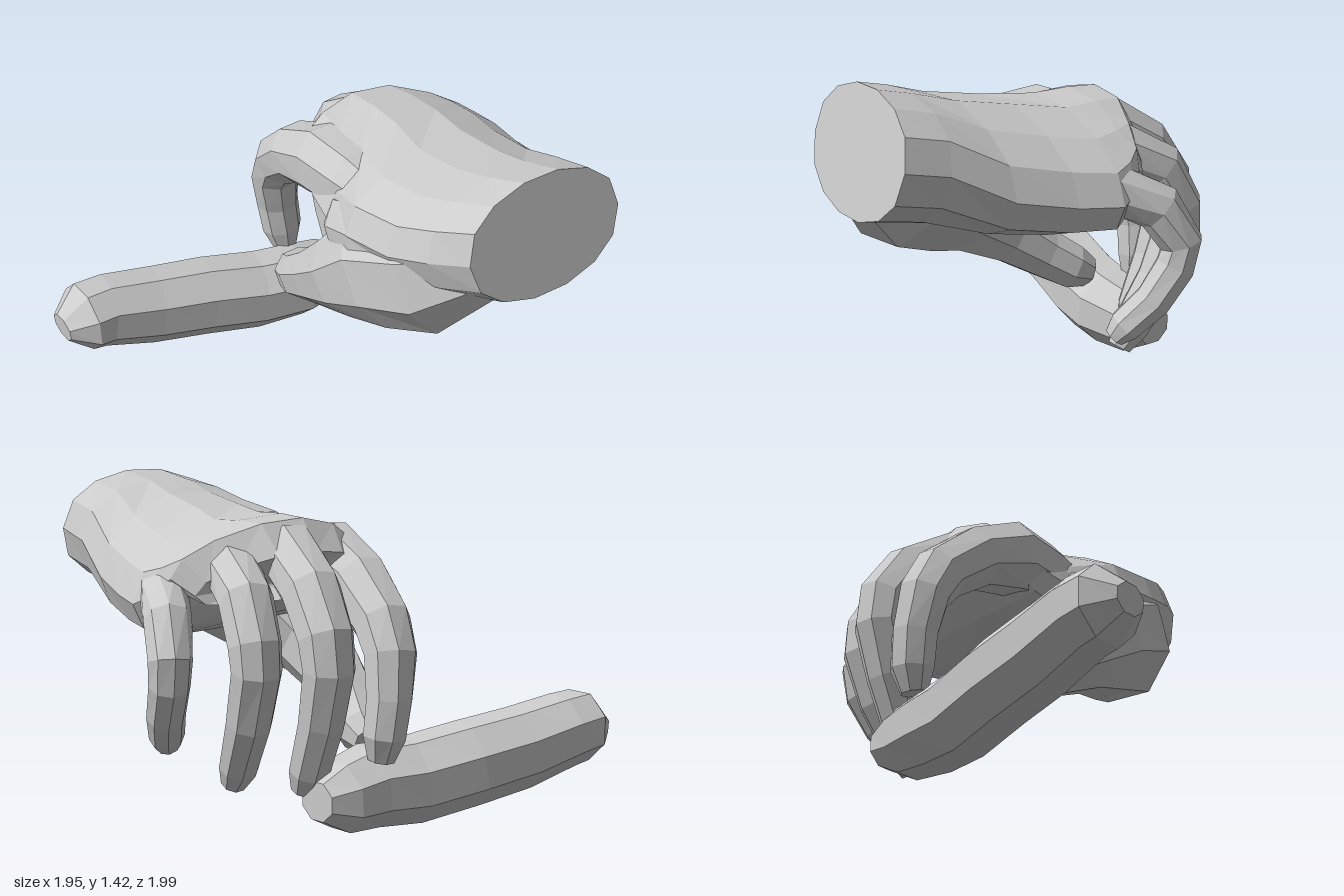
import * as THREE from 'three';

const material = new THREE.MeshStandardMaterial({ color: 0xcccccc, flatShading: true });
const V = (x, y, z) => new THREE.Vector3(x, y, z);

// Closed skin over a row of rings, with a fan at each end
function skin(name, rings) {
  const n = rings[0].length, pos = [], idx = [];
  rings.forEach(r => r.forEach(p => pos.push(p.x, p.y, p.z)));
  for (let i = 0; i < rings.length - 1; i++) {
    for (let j = 0; j < n; j++) {
      const a = i * n + j, b = i * n + (j + 1) % n;
      idx.push(a, b, b + n, a, b + n, a + n);
    }
  }
  [0, rings.length - 1].forEach((k, end) => {
    const c = rings[k].reduce((s, p) => s.add(p), V(0, 0, 0)).divideScalar(n);
    const ci = pos.length / 3;
    pos.push(c.x, c.y, c.z);
    for (let j = 0; j < n; j++) {
      const a = k * n + j, b = k * n + (j + 1) % n;
      end ? idx.push(ci, a, b) : idx.push(ci, b, a);
    }
  });
  const g = new THREE.BufferGeometry();
  g.setAttribute('position', new THREE.Float32BufferAttribute(pos, 3));
  g.setIndex(idx);
  g.computeVertexNormals();
  const mesh = new THREE.Mesh(g, material);
  mesh.name = name;
  return mesh;
}

// Limb along stations [x, y, z, half width, half depth]; side sets the width direction
function limb(name, stations, side = V(0, 0, 1), sides = 8) {
  const c = stations.map(s => V(s[0], s[1], s[2]));
  const rings = stations.map((s, i) => {
    const t = c[Math.min(i + 1, c.length - 1)].clone().sub(c[Math.max(i - 1, 0)]).normalize();
    const a = side.clone().addScaledVector(t, -side.dot(t)).normalize();
    const b = t.clone().cross(a);
    return Array.from({ length: sides }, (_, j) => {
      const w = (j + 0.5) / sides * Math.PI * 2;
      return c[i].clone().addScaledVector(a, Math.cos(w) * s[3] * 1.07)
        .addScaledVector(b, Math.sin(w) * s[4] * 1.07);
    });
  });
  return skin(name, rings);
}

// Palm from wrist to finger webs: x, centre y, centre z, half height, half width, lean, yaw, skew
function palm() {
  const sections = [
    [0.9, 1.17, -0.25, 0.26, 0.38, -0.2, -0.13, 0],
    [0.72, 1.13, -0.23, 0.26, 0.43, -0.15, -0.08, 0],
    [0.5, 1.08, -0.25, 0.26, 0.49, 0, 0, 0],
    [0.25, 1.05, -0.29, 0.25, 0.53, 0, 0, 0],
    [0.02, 1.05, -0.37, 0.235, 0.51, 0, 0, 0.1],
    [-0.15, 1.08, -0.38, 0.21, 0.47, 0, 0, 0.3],
    [-0.3, 1.14, -0.38, 0.14, 0.42, 0, 0, 0.55],
    [-0.4, 1.06, -0.38, 0.09, 0.36, 0, 0, 0.7],
  ];
  const rings = sections.map(([x, cy, cz, hy, hz, lean, yaw, skew], i) =>
    Array.from({ length: 14 }, (_, j) => {
      const w = j / 14 * Math.PI * 2;
      const z = cz + Math.cos(w) * hz;
      // The back of the hand falls away toward the little finger and the index finger
      const side = Math.max(0, -(z + 0.4));
      const drop = side * (i > 1 ? 0.24 : 0) + Math.max(0, z + 0.15) * (i > 3 ? 0.3 : 0);
      const y = cy + Math.sign(Math.sin(w)) * Math.abs(Math.sin(w)) ** 0.85 * hy;
      return V(x + lean * (y - cy) + yaw * (z - cz) + side * skew, y - drop, z);
    }));
  return skin('palm', rings);
}

export function createModel() {
  const group = new THREE.Group();
  const hand = new THREE.Group();
  hand.name = 'hand';
  hand.add(palm());

  // Thumb with its broad base
  hand.add(limb('thumb', [
    [0.8, 1.06, -0.08, 0.13, 0.13],
    [0.53, 0.94, 0.0, 0.25, 0.27],
    [0.27, 0.83, 0.07, 0.205, 0.26],
    [0.08, 0.69, 0.1, 0.15, 0.18],
    [-0.12, 0.555, 0.07, 0.12, 0.13],
    [-0.28, 0.445, 0.02, 0.115, 0.11],
    [-0.4, 0.37, -0.04, 0.105, 0.1],
    [-0.48, 0.335, -0.07, 0.065, 0.065],
  ]));
  // Web of flesh between thumb and index finger
  hand.add(limb('thumbWeb', [
    [0.5, 1.02, 0.04, 0.18, 0.16],
    [0.25, 0.98, 0.09, 0.15, 0.17],
    [0.1, 0.92, 0.07, 0.12, 0.16],
    [0.01, 0.88, 0.04, 0.08, 0.11],
  ]));

  // Fingers from knuckle to tip
  hand.add(limb('indexFinger', [
    [0.2, 1.06, -0.03, 0.11, 0.11],
    [0.0, 1.07, -0.03, 0.13, 0.15],
    [-0.2, 1.08, -0.04, 0.14, 0.16],
    [-0.42, 1.0, -0.08, 0.13, 0.13],
    [-0.6, 0.86, -0.12, 0.115, 0.115],
    [-0.67, 0.74, -0.14, 0.11, 0.1],
    [-0.69, 0.56, -0.165, 0.095, 0.09],
    [-0.68, 0.41, -0.18, 0.09, 0.085],
    [-0.66, 0.31, -0.18, 0.055, 0.055],
  ]));
  hand.add(limb('middleFinger', [
    [-0.05, 1.11, -0.3, 0.1, 0.1],
    [-0.28, 1.13, -0.34, 0.12, 0.125],
    [-0.48, 1.0, -0.4, 0.115, 0.12],
    [-0.6, 0.83, -0.43, 0.11, 0.11],
    [-0.62, 0.7, -0.43, 0.105, 0.1],
    [-0.56, 0.48, -0.415, 0.095, 0.09],
    [-0.47, 0.26, -0.4, 0.085, 0.08],
    [-0.43, 0.175, -0.4, 0.05, 0.05],
  ]));
  hand.add(limb('ringFinger', [
    [0.05, 1.05, -0.5, 0.09, 0.09],
    [-0.18, 1.07, -0.56, 0.11, 0.115],
    [-0.35, 0.97, -0.63, 0.105, 0.11],
    [-0.44, 0.8, -0.66, 0.105, 0.1],
    [-0.45, 0.7, -0.66, 0.1, 0.095],
    [-0.37, 0.48, -0.635, 0.09, 0.09],
    [-0.25, 0.27, -0.59, 0.08, 0.075],
    [-0.2, 0.19, -0.58, 0.05, 0.05],
  ]));
  hand.add(limb('littleFinger', [
    [0.22, 0.97, -0.64, 0.06, 0.07],
    [0.02, 0.98, -0.76, 0.095, 0.1],
    [-0.14, 0.89, -0.86, 0.09, 0.095],
    [-0.22, 0.74, -0.91, 0.085, 0.085],
    [-0.2, 0.64, -0.9, 0.08, 0.08],
    [-0.12, 0.5, -0.86, 0.075, 0.075],
    [-0.03, 0.39, -0.79, 0.07, 0.065],
    [0.0, 0.34, -0.76, 0.045, 0.04],
  ]));
  group.add(hand);

  // Stubby rod held between thumb and index finger
  group.add(limb('heldRod', [
    [-0.55, 0.155, -0.43, 0.09, 0.08],
    [-0.55, 0.155, -0.31, 0.145, 0.145],
    [-0.55, 0.175, -0.15, 0.175, 0.165],
    [-0.61, 0.18, 0.05, 0.17, 0.175],
    [-0.69, 0.225, 0.3, 0.17, 0.175],
    [-0.755, 0.265, 0.55, 0.165, 0.17],
    [-0.81, 0.32, 0.78, 0.16, 0.155],
    [-0.82, 0.33, 0.88, 0.16, 0.15],
    [-0.83, 0.32, 0.99, 0.075, 0.06],
  ], V(1, 0, 0)));
  return group;
}
